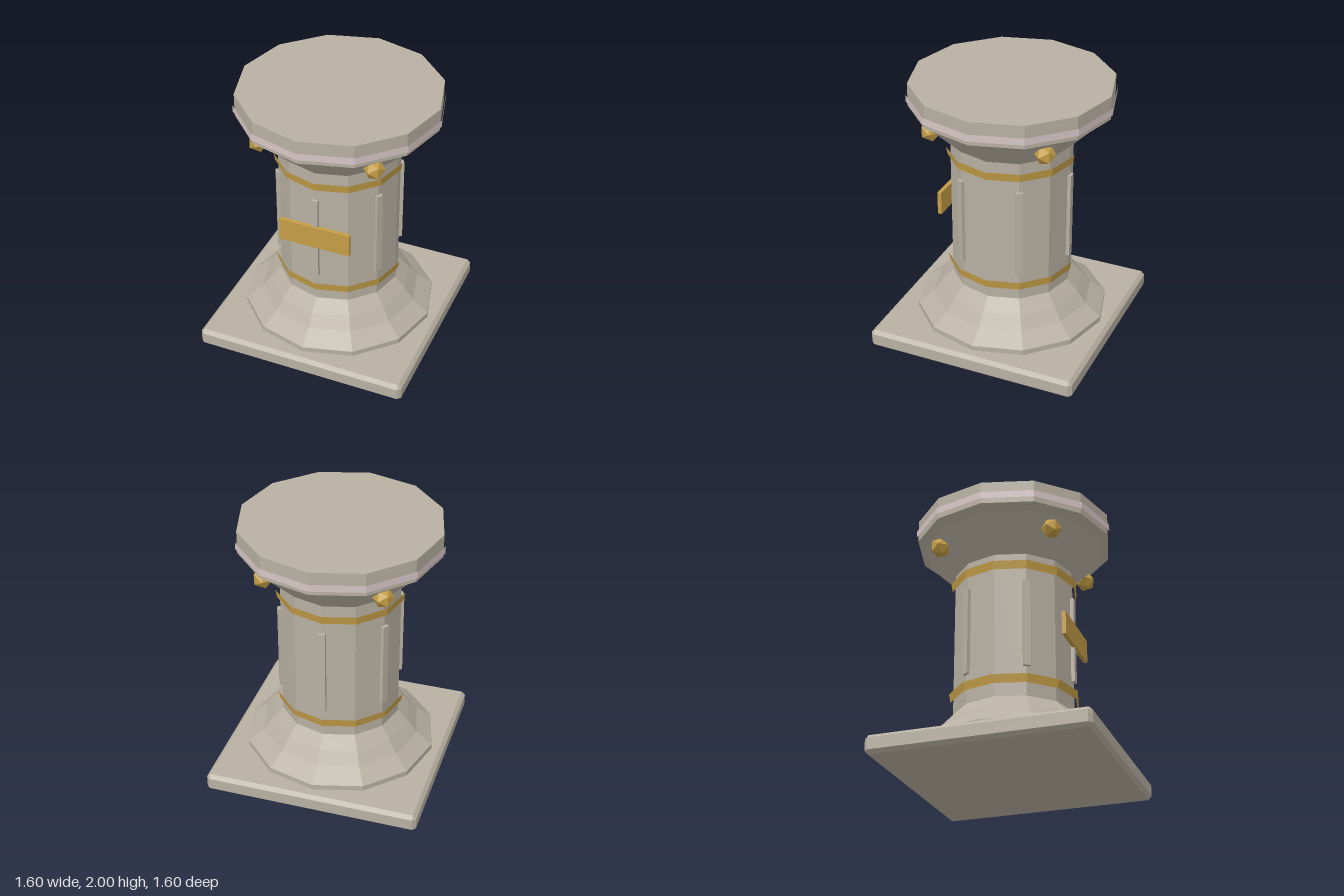
import * as THREE from 'three';
import { ConvexGeometry } from 'three/addons/geometries/ConvexGeometry.js';

const SIDES = 12;

export function createModel() {
  const model = new THREE.Group();
  model.name = 'pedestal';

  const stone = new THREE.MeshStandardMaterial({ color: 0xb8b0a2 });
  stone.name = 'warm grey stone';
  const gold = new THREE.MeshStandardMaterial({ color: 0xc49e46 });
  gold.name = 'gold';
  const rose = new THREE.MeshStandardMaterial({ color: 0xd8c6c6 });
  rose.name = 'pale rose stone';

  // Adds a mesh with faceted normals
  function add(name, geometry, material, parent = model) {
    const flat = geometry.index ? geometry.toNonIndexed() : geometry;
    flat.computeVertexNormals();
    const mesh = new THREE.Mesh(flat, material);
    mesh.name = name;
    parent.add(mesh);
    return mesh;
  }

  // Twelve-sided turned part from [radius, height] points, bottom to top
  function turned(name, profile, material) {
    const points = profile.map(([r, y]) => new THREE.Vector2(r, y));
    return add(name, new THREE.LatheGeometry(points, SIDES), material);
  }

  // Box with every edge chamfered by c
  function chamferedBox(w, h, d, c) {
    const points = [];
    for (const x of [-w / 2, w / 2])
      for (const y of [-h / 2, h / 2])
        for (const z of [-d / 2, d / 2]) {
          const ix = x - Math.sign(x) * c, iy = y - Math.sign(y) * c, iz = z - Math.sign(z) * c;
          points.push(new THREE.Vector3(x, iy, iz), new THREE.Vector3(ix, y, iz), new THREE.Vector3(ix, iy, z));
        }
    return new ConvexGeometry(points);
  }

  // Square base
  add('plinth', chamferedBox(1.6, 0.14, 1.6, 0.027), stone).position.y = 0.07;

  // Column
  turned('foot', [[0.715, 0.13], [0.715, 0.18], [0.597, 0.27], [0.527, 0.36], [0.445, 0.448]], stone);
  turned('shaft', [[0.445, 0.448], [0.445, 1.56]], stone);
  turned('capital', [[0.445, 1.56], [0.672, 1.785], [0.735, 1.828], [0.735, 2], [0, 2]], stone);

  // Open bands around the column
  turned('capitalBand', [[0.748, 1.862], [0.748, 1.914]], rose);
  turned('lowerRing', [[0.466, 0.54], [0.477, 0.603]], gold);
  turned('upperRing', [[0.466, 1.43], [0.477, 1.493]], gold);

  // Six raised strips around the shaft
  const strips = new THREE.Group();
  strips.name = 'shaftStrips';
  model.add(strips);
  for (let i = 0; i < 6; i++) {
    const a = (i * Math.PI) / 3;
    const strip = add('strip', new THREE.BoxGeometry(0.05, 0.665, 0.03), stone, strips);
    strip.position.set(Math.sin(a) * 0.45, 1.003, Math.cos(a) * 0.45);
    strip.rotation.y = a;
  }

  // Plain plate on the front
  add('frontPlate', new THREE.BoxGeometry(0.536, 0.175, 0.03), gold).position.set(0, 1.025, 0.463);

  // Four faceted studs under the capital
  const studs = new THREE.Group();
  studs.name = 'studs';
  model.add(studs);
  for (let i = 0; i < 4; i++) {
    const a = Math.PI / 4 + (i * Math.PI) / 2;
    const stud = add('stud', new THREE.IcosahedronGeometry(0.077, 0), gold, studs);
    stud.position.set(Math.sin(a) * 0.608, 1.705, Math.cos(a) * 0.608);
    stud.rotation.y = a;
  }

  return model;
}
